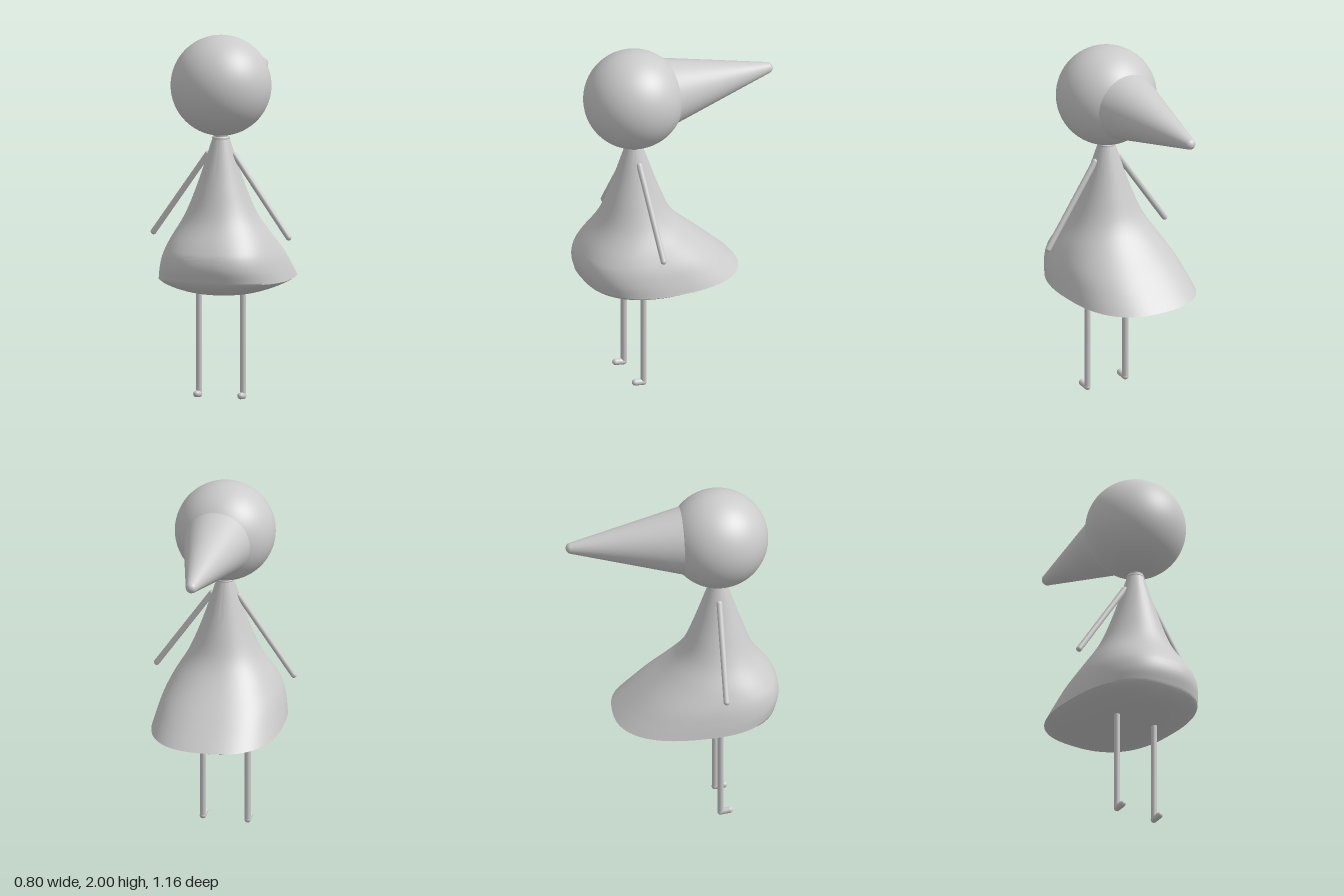
import * as THREE from 'three';
import { toCreasedNormals } from 'three/addons/utils/BufferGeometryUtils.js';

const material = new THREE.MeshStandardMaterial({ color: 0xcccccc });
const AXIS_Z = 0.255;
const HEAD_Y = 1.725;

function part(name, geometry, parent) {
  const mesh = new THREE.Mesh(geometry, material);
  mesh.name = name;
  parent.add(mesh);
  return mesh;
}

// Round-ended rod between two points
function rod(name, from, to, radius, parent) {
  const a = new THREE.Vector3(...from), b = new THREE.Vector3(...to);
  const dir = b.clone().sub(a);
  const mesh = part(name, new THREE.CapsuleGeometry(radius, dir.length(), 8, 16), parent);
  mesh.position.copy(a).add(b).multiplyScalar(0.5);
  mesh.quaternion.setFromUnitVectors(new THREE.Vector3(0, 1, 0), dir.normalize());
  return mesh;
}

// Smoothly resample rows of numbers, column by column
function resample(rows, steps) {
  const curves = [0, 3].map((k) => new THREE.CatmullRomCurve3(
    rows.map((r) => new THREE.Vector3(r[k], r[k + 1], r[k + 2])), false, 'centripetal'));
  return Array.from({ length: steps + 1 }, (_, i) =>
    curves.flatMap((c) => c.getPoint(i / steps).toArray()));
}

// Dress: loops given as [front z, front y, back z, back y, half width, side y]
function dressGeometry() {
  const rim = [0.565, 0.675, -0.325, 0.643, 0.355, 0.65];
  const upper = resample([
    [0.30, 1.44, 0.21, 1.44, 0.045, 1.44],
    [0.386, 1.18, 0.12, 1.18, 0.13, 1.18],
    [0.455, 1.0, 0.058, 1.03, 0.20, 1.01],
    [0.545, 0.865, -0.02, 0.93, 0.275, 0.88],
    [0.577, 0.80, -0.17, 0.79, 0.318, 0.79],
    [0.582, 0.74, -0.26, 0.705, 0.34, 0.715],
    rim,
  ], 36);
  const under = resample([
    rim,
    [0.548, 0.652, -0.295, 0.63, 0.325, 0.632],
    [0.497, 0.617, -0.20, 0.605, 0.25, 0.603],
    [0.376, 0.585, -0.02, 0.575, 0.15, 0.577],
    [0.18, 0.565, 0.18, 0.565, 0, 0.565],
  ], 16);
  const loops = [...upper, ...under.slice(1)];
  const n = 72, positions = [], index = [];
  loops.forEach(([zf, yf, zb, yb, w, ys]) => {
    // Round at the waist, squarer towards the hem
    const power = 1 - 0.2 * THREE.MathUtils.smoothstep(w, 0.15, 0.35);
    const bend = (v) => Math.sign(v) * Math.abs(v) ** power;
    for (let j = 0; j < n; j++) {
      const t = (j / n) * Math.PI * 2, s = Math.sin(t), c = Math.cos(t);
      const y = ys + c * (yf - yb) / 2 + c * c * ((yf + yb) / 2 - ys);
      positions.push(w * bend(s), y, (zf + zb) / 2 + bend(c) * (zf - zb) / 2);
    }
  });
  for (let i = 0; i < loops.length - 1; i++) {
    for (let j = 0; j < n; j++) {
      const k = (j + 1) % n;
      const a = i * n + j, b = a + n, d = i * n + k, c = d + n;
      index.push(a, b, d);
      if (i < loops.length - 2) index.push(b, c, d);
    }
  }
  const geometry = new THREE.BufferGeometry();
  geometry.setAttribute('position', new THREE.Float32BufferAttribute(positions, 3));
  geometry.setIndex(index);
  return toCreasedNormals(geometry, Math.PI / 4);
}

export function createModel() {
  const model = new THREE.Group();
  model.name = 'figure';

  part('head', new THREE.SphereGeometry(0.275, 64, 48), model).position.set(0, HEAD_Y, AXIS_Z);

  // Long cone behind the head, with a rounded tip
  const profile = [new THREE.Vector2(0.198, -0.1)];
  for (let i = 0; i <= 8; i++) {
    const a = THREE.MathUtils.lerp(0.25, Math.PI / 2, i / 8);
    profile.push(new THREE.Vector2(0.031 * Math.cos(a), 0.549 + 0.031 * Math.sin(a)));
  }
  const cone = part('hoodCone', new THREE.LatheGeometry(profile, 64), model);
  cone.rotation.x = -Math.PI / 2;
  cone.position.y = HEAD_Y;

  part('neck', new THREE.CylinderGeometry(0.042, 0.042, 0.08, 32), model).position.set(0, 1.44, AXIS_Z);
  const collar = part('collar', new THREE.TorusGeometry(0.04, 0.009, 10, 32), model);
  collar.rotation.x = Math.PI / 2;
  collar.position.set(0, 1.437, AXIS_Z);

  part('dress', dressGeometry(), model);

  // Arms, legs and feet on both sides
  for (const [side, s] of [['left', 1], ['right', -1]]) {
    rod(side + 'Arm', [0.075 * s, 1.345, AXIS_Z], [0.383 * s, 0.902, AXIS_Z], 0.016, model);
    rod(side + 'Leg', [0.125 * s, 0.66, AXIS_Z], [0.125 * s, 0.025, AXIS_Z], 0.017, model);
    rod(side + 'Foot', [0.125 * s, 0.018, AXIS_Z], [0.125 * s, 0.025, 0.305], 0.018, model);
  }
  return model;
}
